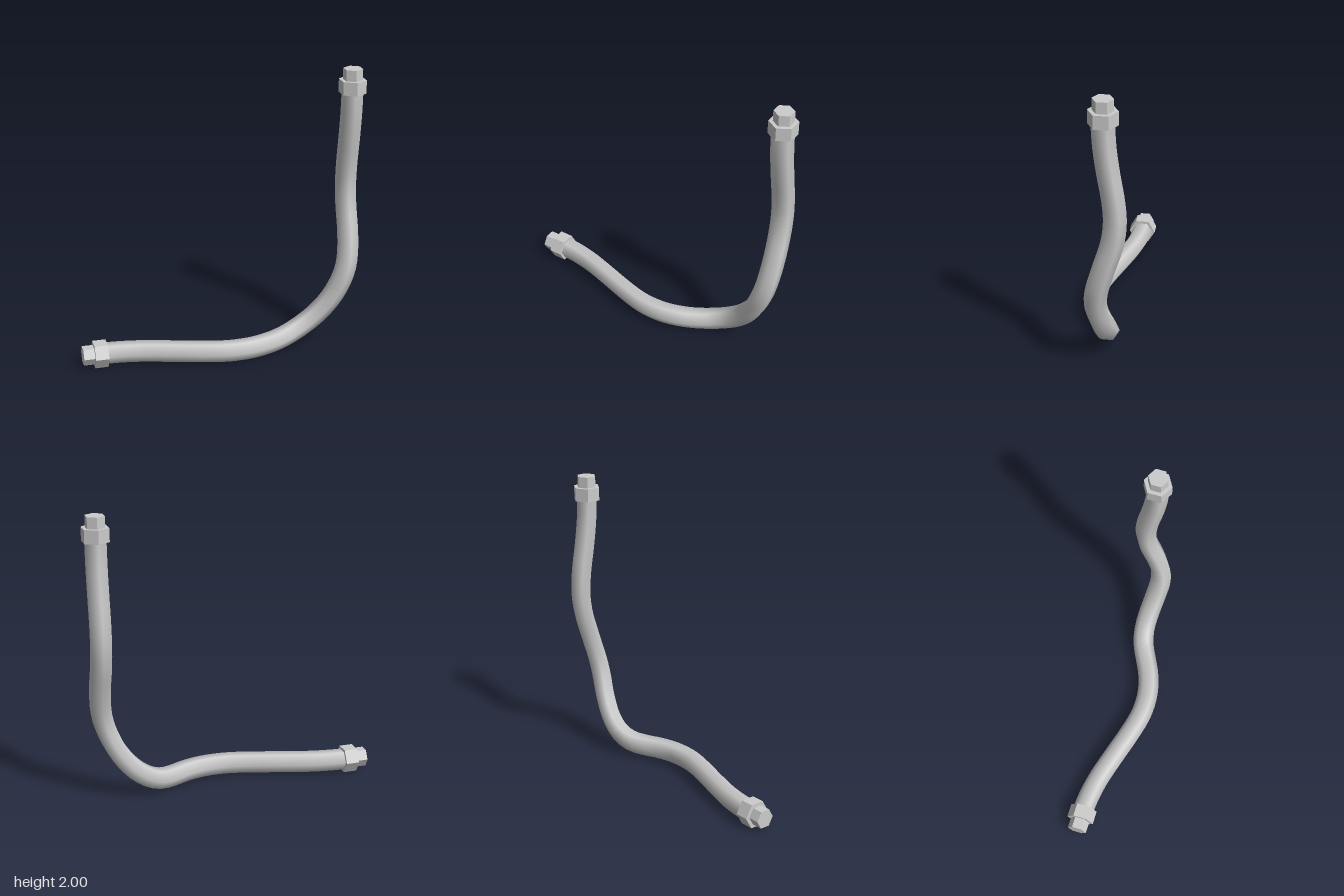
import * as THREE from 'three';

const grey = new THREE.MeshStandardMaterial({ color: 0xcccccc });
const greyFlat = new THREE.MeshStandardMaterial({ color: 0xcccccc, flatShading: true });

// Six-sided pipe swept along a curve, one corner kept towards +z
function sweepHex(curve, radius, steps) {
  const sides = 6, pos = [], index = [];
  const zAxis = new THREE.Vector3(0, 0, 1);
  for (let i = 0; i <= steps; i++) {
    const c = curve.getPointAt(i / steps), t = curve.getTangentAt(i / steps);
    const n = zAxis.clone().cross(t).normalize();
    const b = t.clone().cross(n);
    for (let j = 0; j < sides; j++) {
      const a = (j / sides) * Math.PI * 2;
      const p = c.clone().addScaledVector(b, radius * Math.cos(a)).addScaledVector(n, radius * Math.sin(a));
      pos.push(p.x, p.y, p.z);
      if (i < steps) {
        const k = i * sides + j, l = i * sides + ((j + 1) % sides);
        index.push(k, k + sides, l, l, k + sides, l + sides);
      }
    }
  }
  const g = new THREE.BufferGeometry();
  g.setAttribute('position', new THREE.Float32BufferAttribute(pos, 3));
  g.setIndex(index);
  g.computeVertexNormals();
  return g;
}

// Hex collar with a smaller hex tip, pointing up from its base
function makeFitting(name) {
  const group = new THREE.Group();
  group.name = name;
  const hex = (part, radius, y0, y1) => {
    const m = new THREE.Mesh(new THREE.CylinderGeometry(radius, radius, y1 - y0, 6), greyFlat);
    m.position.y = (y0 + y1) / 2;
    m.name = part;
    group.add(m);
  };
  hex('collarNut', 0.096, 0, 0.093);
  hex('tipNut', 0.068, 0.093, 0.17);
  return group;
}

export function createModel() {
  const model = new THREE.Group();
  model.name = 'bentHose';

  // Hose: level run, elliptical bend, upright run, weaving in z
  const low = 0.086, right = 0.915, bendX = 0.4, bendY = 0.8;
  const points = [];
  const add = (x, y, z) => points.push(new THREE.Vector3(x, y, z));
  [[-0.87, -0.065], [-0.78, -0.062], [-0.6, -0.033], [-0.4, 0.024], [-0.2, 0.085], [-0.05, 0.122],
    [0.05, 0.131], [0.17, 0.122], [0.29, 0.088], [0.4, 0.036]].forEach(([x, z]) => add(x, low, z));
  [[0.5, -0.012], [0.6, -0.036], [0.7, -0.034], [0.8, -0.014], [0.87, 0.003], [0.9, -0.008]].forEach(([x, z]) => {
    const s = (x - bendX) / (right - bendX);
    add(x, bendY - (bendY - low) * Math.sqrt(1 - s * s), z);
  });
  [[0.8, -0.053], [1, -0.112], [1.15, -0.131], [1.3, -0.122], [1.5, -0.09], [1.67, -0.068],
    [1.8, -0.06], [1.87, -0.06]].forEach(([y, z]) => add(right, y, z));
  const hose = new THREE.Mesh(sweepHex(new THREE.CatmullRomCurve3(points), 0.075, 64), grey);
  hose.name = 'hose';
  model.add(hose);

  // End fittings
  const top = makeFitting('topFitting');
  top.position.set(right, 1.83, -0.06);
  const side = makeFitting('sideFitting');
  side.rotation.z = Math.PI / 2;
  side.position.set(-0.83, low, -0.065);
  model.add(top, side);

  return model;
}
